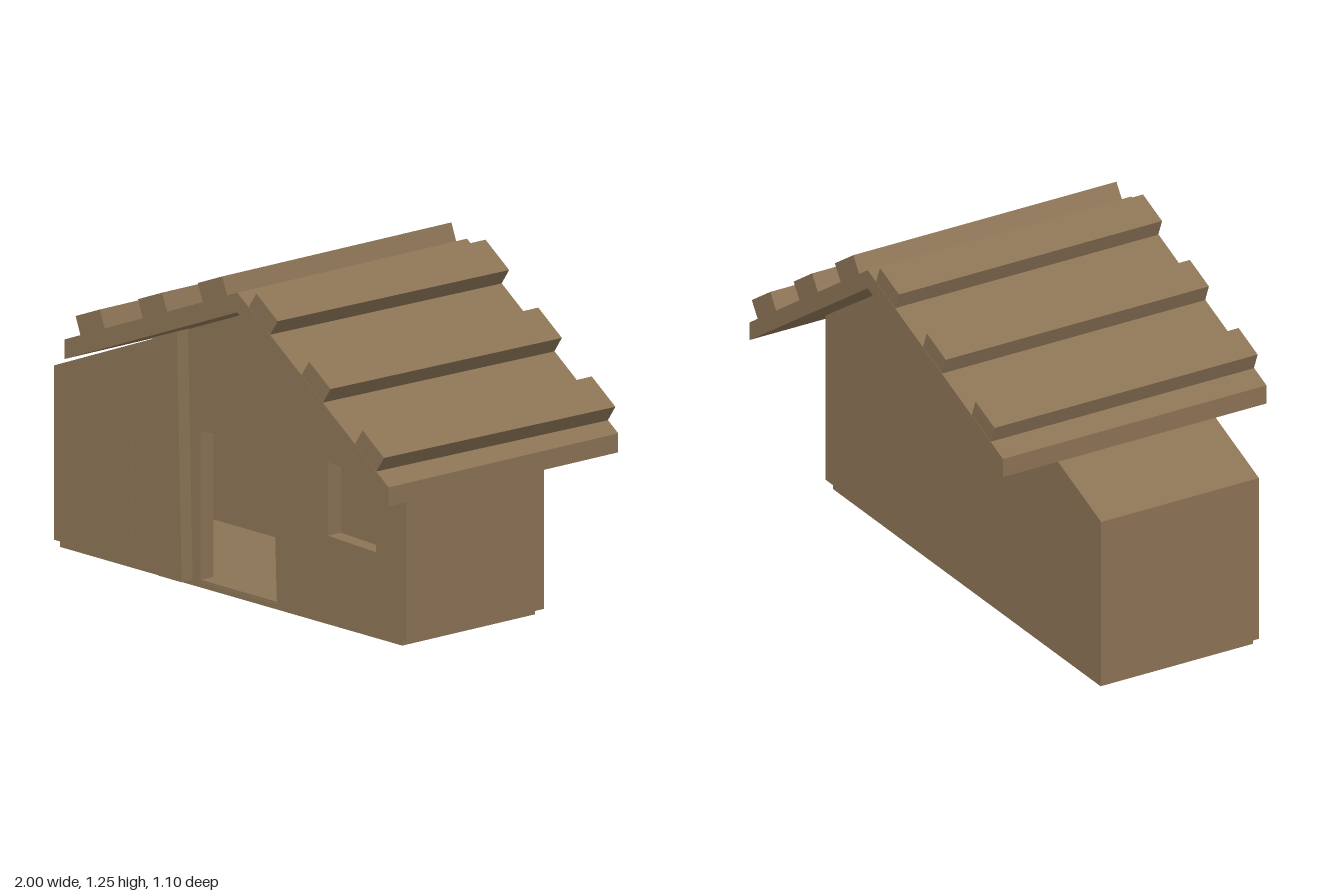
import * as THREE from 'three';

const wood = new THREE.MeshStandardMaterial({ color: 0x8b7355 });
wood.name = 'brown wood';

const toPoints = (pts) => pts.map(([x, y]) => new THREE.Vector2(x, y));

// Upright outline (x, y) with optional holes, extruded from z0 to z1
function slab(name, outline, z0, z1, holes = []) {
  const shape = new THREE.Shape(toPoints(outline));
  for (const h of holes) shape.holes.push(new THREE.Path(toPoints(h)));
  const geo = new THREE.ExtrudeGeometry(shape, { depth: z1 - z0, bevelEnabled: false });
  geo.translate(0, 0, z0);
  const mesh = new THREE.Mesh(geo, wood);
  mesh.name = name;
  return mesh;
}

// Batten lying on a roof slope; (x, y) is the middle of its foot
function batten(name, x, y, angle, flare) {
  const geo = new THREE.BoxGeometry(0.138, 0.09, 1.096);
  const p = geo.attributes.position;
  // the lower edge spreads slightly towards the back
  for (let i = 0; i < p.count; i++) {
    if (p.getZ(i) < 0 && p.getX(i) > 0) p.setX(i, p.getX(i) + flare);
  }
  geo.translate(0, 0.025, 0);
  geo.computeVertexNormals();
  const mesh = new THREE.Mesh(geo, wood);
  mesh.name = name;
  mesh.position.set(x, y, 0);
  mesh.rotation.z = angle;
  return mesh;
}

export function createModel() {
  const house = new THREE.Group();
  house.name = 'house';

  // Ground slab
  house.add(slab('base', [[-0.98, 0], [0.83, 0], [0.83, 0.02], [-0.98, 0.02]], -0.305, 0.33));
  house.add(slab('baseJoint', [[-0.96, 0.015], [0.81, 0.015], [0.81, 0.028], [-0.96, 0.028]], -0.29, 0.31));

  // Hollow body: shell between a back wall and a pierced front wall
  const gable = [[-1, 0.025], [0.865, 0.025], [0.865, 0.68], [0.2, 1.13], [-1, 0.665]];
  const room = [[-0.94, 0.032], [-0.94, 0.63], [0.2, 1.07], [0.805, 0.655], [0.805, 0.032]];
  house.add(slab('bodyShell', gable, -0.245, 0.28, [room]));
  house.add(slab('backWall', gable, -0.315, -0.245));
  const frontOutline = [
    [-1, 0.025], [-0.225, 0.025], [-0.225, 0.58], [0.16, 0.595], [0.18, 0.025],
    [0.865, 0.025], [0.865, 0.68], [0.2, 1.13], [-1, 0.665],
  ];
  const windowHole = [[0.45, 0.33], [0.45, 0.6], [0.705, 0.59], [0.705, 0.32]];
  house.add(slab('frontWall', frontOutline, 0.28, 0.342, [windowHole]));
  house.add(slab('doorSill', [[-0.225, 0.025], [0.18, 0.025], [0.18, 0.032], [-0.225, 0.032]], 0.28, 0.34));

  // Thin boards on the front wall
  const boards = [
    [[-0.87, 0.03], [-0.722, 0.03], [-0.735, 0.7], [-0.885, 0.64]],
    [[-0.722, 0.03], [-0.572, 0.03], [-0.59, 0.755], [-0.735, 0.7]],
    [[-0.572, 0.03], [-0.39, 0.03], [-0.415, 0.82], [-0.44, 0.875], [-0.59, 0.755]],
  ];
  boards.forEach((b, i) => house.add(slab('frontBoard' + (i + 1), b, 0.335, 0.348 + (i % 2) * 0.001)));

  // Tall plank standing proud beside the doorway
  house.add(slab('frontPost', [[-0.39, 0.025], [-0.265, 0.025], [-0.29, 0.942], [-0.42, 0.893]], 0.335, 0.395));

  // Roof: two joined slopes with three battens on each
  house.add(slab('roof', [
    [-0.715, 0.783], [0.2, 1.138], [1, 0.585], [1, 0.655], [0.2, 1.21], [-0.715, 0.855],
  ], -0.549, 0.549));
  const leftSlope = 0.355 / 0.915, rightSlope = -0.555 / 0.8;
  [-0.567, -0.237, 0.08].forEach((x, i) => house.add(
    batten('leftBatten' + (i + 1), x, 1.21 + (x - 0.2) * leftSlope, Math.atan(leftSlope), 0)));
  [0.316, 0.595, 0.878].forEach((x, i) => house.add(
    batten('rightBatten' + (i + 1), x, 1.21 + (x - 0.2) * rightSlope, Math.atan(rightSlope), 0.014)));

  return house;
}
